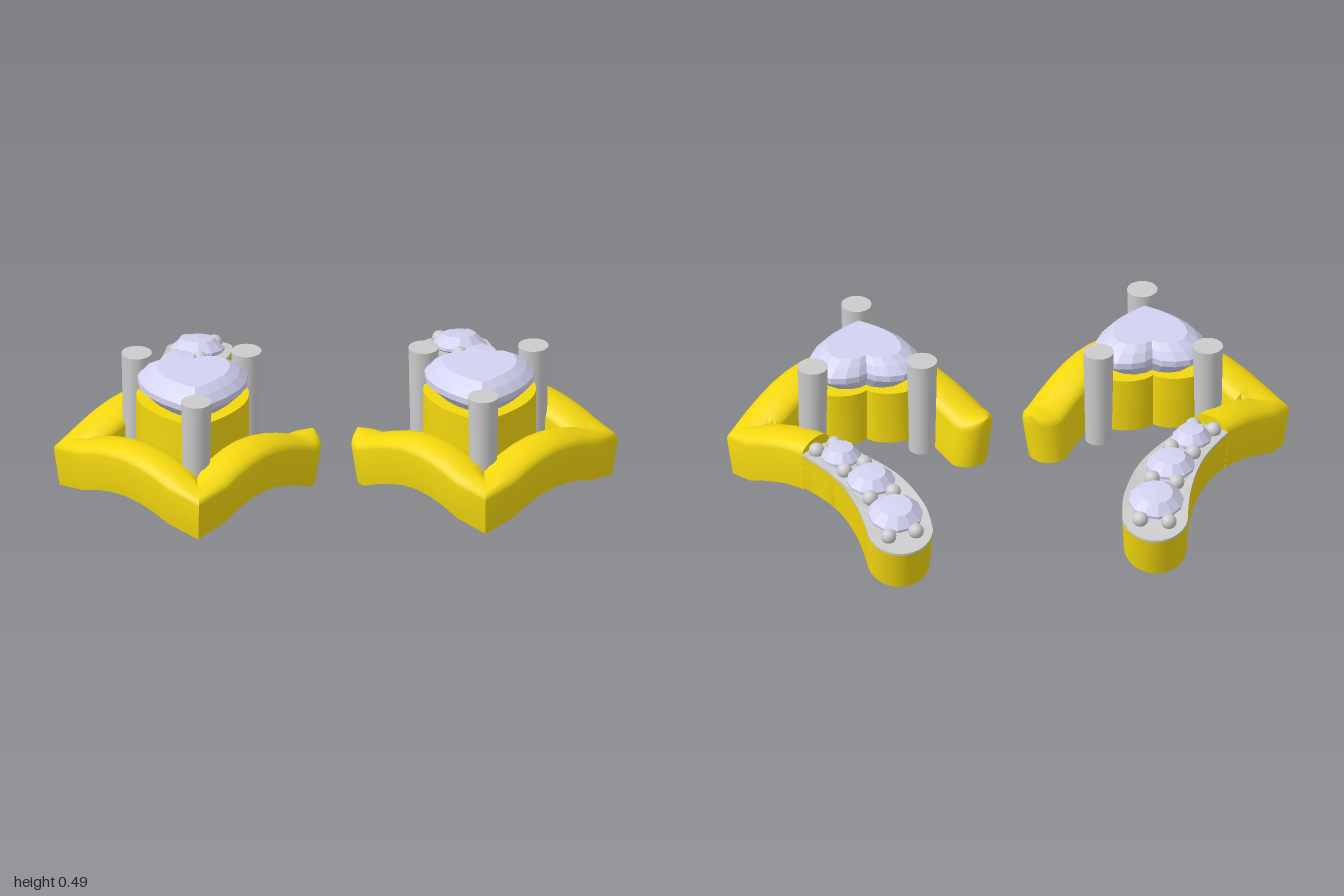
import * as THREE from 'three';
import { toCreasedNormals } from 'three/addons/utils/BufferGeometryUtils.js';

const gold = new THREE.MeshStandardMaterial({ color: 0xf2d70e });
const grey = new THREE.MeshStandardMaterial({ color: 0xcccccc });
const gem = new THREE.MeshStandardMaterial({ color: 0xd2d2f0, flatShading: true });
const CX = 0.51; // middle of one earring

function add(parent, name, geometry, material, x = 0, y = 0, z = 0) {
  const mesh = new THREE.Mesh(geometry, material);
  mesh.name = name;
  mesh.position.set(x, y, z);
  parent.add(mesh);
  return mesh;
}

// Skin over a row of closed rings with equal point counts
function loft(rings) {
  const n = rings[0].length, index = [];
  for (let s = 0; s < rings.length - 1; s++) {
    for (let i = 0; i < n; i++) {
      const a = s * n + i, b = s * n + (i + 1) % n;
      index.push(a, b, a + n, b, b + n, a + n);
    }
  }
  const g = new THREE.BufferGeometry();
  g.setAttribute('position', new THREE.Float32BufferAttribute(rings.flat(2), 3));
  g.setIndex(index);
  return toCreasedNormals(g, 0.6);
}

// The underside is drawn in slightly towards the middle
const pullIn = (x, z) => [0.53 + (x - 0.53) * 0.955, z * 0.955];

// Zigzag band: rounded top, arched arms, round free end, cut off at the pave tail
function bandGeometry() {
  const HW = 0.077;
  const corners = [[0.13, 0.175], [CX, 0.595], [0.92, 0.155], [0.707, -0.05]].map(p => new THREE.Vector2(...p));
  const low = [0.012, 0.028, 0.005], rise = [0.075, 0.07, 0.073];
  const dirs = [0, 1, 2].map(i => corners[i + 1].clone().sub(corners[i]).normalize());
  const normal = d => new THREE.Vector2(d.y, -d.x);
  const rings = [];
  const section = (p, n, inner, outer, bottom) => {
    const at = (k, y, pull) => {
      let x = p.x + n.x * k, z = p.y + n.y * k;
      if (pull) [x, z] = pullIn(x, z);
      return [x, y, z];
    };
    const edge = bottom + 0.145, ring = [at(inner, bottom, true)];
    for (let i = 0; i <= 10; i++) {
      const a = Math.PI * i / 10, c = Math.cos(a);
      ring.push(at(c * (c > 0 ? inner : outer), edge + 0.04 * Math.sin(a), false));
    }
    ring.push(at(-outer, bottom, true));
    rings.push(ring);
  };
  for (let i = 0; i < 6; i++) {
    const a = Math.PI / 2 * (1 - i / 6), w = HW * Math.cos(a);
    section(corners[0].clone().addScaledVector(dirs[0], -HW * Math.sin(a)), normal(dirs[0]), w, w, low[0]);
  }
  for (let s = 0; s < 3; s++) {
    for (let i = 0; i < 8; i++) {
      const t = i / 8;
      const p = corners[s].clone().lerp(corners[s + 1], t);
      const arch = rise[s] * Math.sin(Math.PI * t * (s === 2 ? 0.5 : 1));
      const base = s === 2 ? low[2] : THREE.MathUtils.lerp(low[s], low[s + 1], t);
      if (i === 0 && s > 0) {
        const m = normal(dirs[s - 1]).add(normal(dirs[s])).normalize();
        section(p, m, HW / m.dot(normal(dirs[s])), HW * 1.08, base);
      } else section(p, normal(dirs[s]), HW, HW, base + arch);
    }
  }
  const end = low[2] + rise[2];
  section(corners[3], normal(dirs[2]), HW, HW, end);
  section(corners[3], normal(dirs[2]), 0, 0, end);
  return loft(rings);
}

// Curved pave tail
const tailTop = z => 0.23 - 0.075 * ((z + 0.17) / 0.5) ** 2;
const tailBottom = z => 0.087 - 0.082 * ((z + 0.2) / 0.45) ** 2;
const stones = [[0.465, -0.495, 0.097], [0.535, -0.31, 0.086], [0.625, -0.15, 0.071]];
const beads = [[0.4, -0.587], [0.5, -0.605], [0.462, -0.38], [0.547, -0.408],
  [0.547, -0.2], [0.622, -0.243], [0.64, -0.06], [0.708, -0.1]];

function tailGeometry(bottom, top, pulled) {
  const v = pts => pts.map(p => new THREE.Vector2(...p));
  const shape = new THREE.Shape();
  shape.moveTo(0.645, 0.01);
  shape.splineThru(v([[0.45, 0.24], [0.36, 0.43], [0.338, 0.56]]));
  shape.absarc(0.455, 0.56, 0.117, Math.PI, 0, true);
  shape.splineThru(v([[0.6, 0.42], [0.66, 0.26], [0.77, 0.09]]));
  for (const [x, z] of stones) {
    shape.holes.push(new THREE.Path().absarc(x, -z, 0.04, 0, Math.PI * 2));
  }
  const g = new THREE.ExtrudeGeometry(shape, { depth: 1, bevelEnabled: false, curveSegments: 10 });
  g.rotateX(-Math.PI / 2);
  const p = g.attributes.position;
  for (let i = 0; i < p.count; i++) {
    let x = p.getX(i), z = p.getZ(i);
    const y = p.getY(i) > 0.5 ? top(z) : bottom(z);
    if (pulled && p.getY(i) < 0.5) [x, z] = pullIn(x, z);
    p.setXYZ(i, x, y, z);
  }
  return toCreasedNormals(g, 0.6);
}

// Heart outline, tip towards the front, scaled about its middle
function heart(k) {
  const s = new THREE.Shape(), X = x => x * k, Y = y => -0.21 + (y + 0.21) * k;
  const curve = (...a) => s.bezierCurveTo(...a.map((q, i) => (i % 2 ? Y(q) : X(q))));
  s.moveTo(0, Y(-0.085));
  curve(0.03, -0.04, 0.19, -0.02, 0.2, -0.15);
  curve(0.21, -0.27, 0.1, -0.37, 0, -0.43);
  curve(-0.1, -0.37, -0.21, -0.27, -0.2, -0.15);
  curve(-0.19, -0.02, -0.03, -0.04, 0, -0.085);
  return s;
}

function bezelGeometry() {
  const s = heart(1);
  s.holes.push(heart(0.5));
  const g = new THREE.ExtrudeGeometry(s, { depth: 0.205, bevelEnabled: false, curveSegments: 10 });
  return toCreasedNormals(g.rotateX(-Math.PI / 2), 0.6);
}

function heartStoneGeometry() {
  const levels = [[0.485, 0.001], [0.485, 0.66], [0.462, 0.84], [0.435, 0.98], [0.412, 0.98], [0.365, 0.72], [0.29, 0.001]];
  return loft(levels.map(([y, k]) => heart(k).getPoints(5).slice(0, -1).map(p => [p.x, y, -p.y])));
}

function earring() {
  const g = new THREE.Group();
  add(g, 'band', bandGeometry(), gold);
  add(g, 'tail', tailGeometry(tailBottom, z => tailTop(z) - 0.008, true), gold);
  add(g, 'pavePlate', tailGeometry(z => tailTop(z) - 0.008, tailTop, false), grey);

  // Pave stones and the beads that hold them
  for (const [x, z, r] of stones) {
    const profile = [[0, -0.04], [r, 0.008], [r, 0.018], [r * 0.62, 0.052], [0, 0.056]].map(p => new THREE.Vector2(...p));
    const stone = add(g, 'paveStone', new THREE.LatheGeometry(profile, 12), gem, x, tailTop(z), z);
    stone.rotation.x = -Math.atan(-0.6 * (z + 0.17));
  }
  for (const [x, z] of beads) {
    add(g, 'bead', new THREE.SphereGeometry(0.028, 16, 12), grey, x, tailTop(z) + 0.012, z);
  }

  // Heart setting with its three prongs
  add(g, 'heartBezel', bezelGeometry(), gold, CX, 0.16, 0);
  add(g, 'heartStone', heartStoneGeometry(), gem, CX, 0, 0);
  add(g, 'tipSupport', new THREE.CylinderGeometry(0.035, 0.025, 0.19, 16), gold, CX, 0.195, 0.408);
  for (const [x, z] of [[0.315, 0.07], [0.705, 0.07], [CX, 0.468]]) {
    add(g, 'prong', new THREE.CylinderGeometry(0.054, 0.047, 0.365, 28), grey, x, 0.3025, z);
  }
  return g;
}

export function createModel() {
  const model = new THREE.Group();
  const left = earring();
  left.name = 'leftEarring';
  const right = left.clone();
  right.name = 'rightEarring';
  right.scale.x = -1;
  model.add(left, right);
  return model;
}
